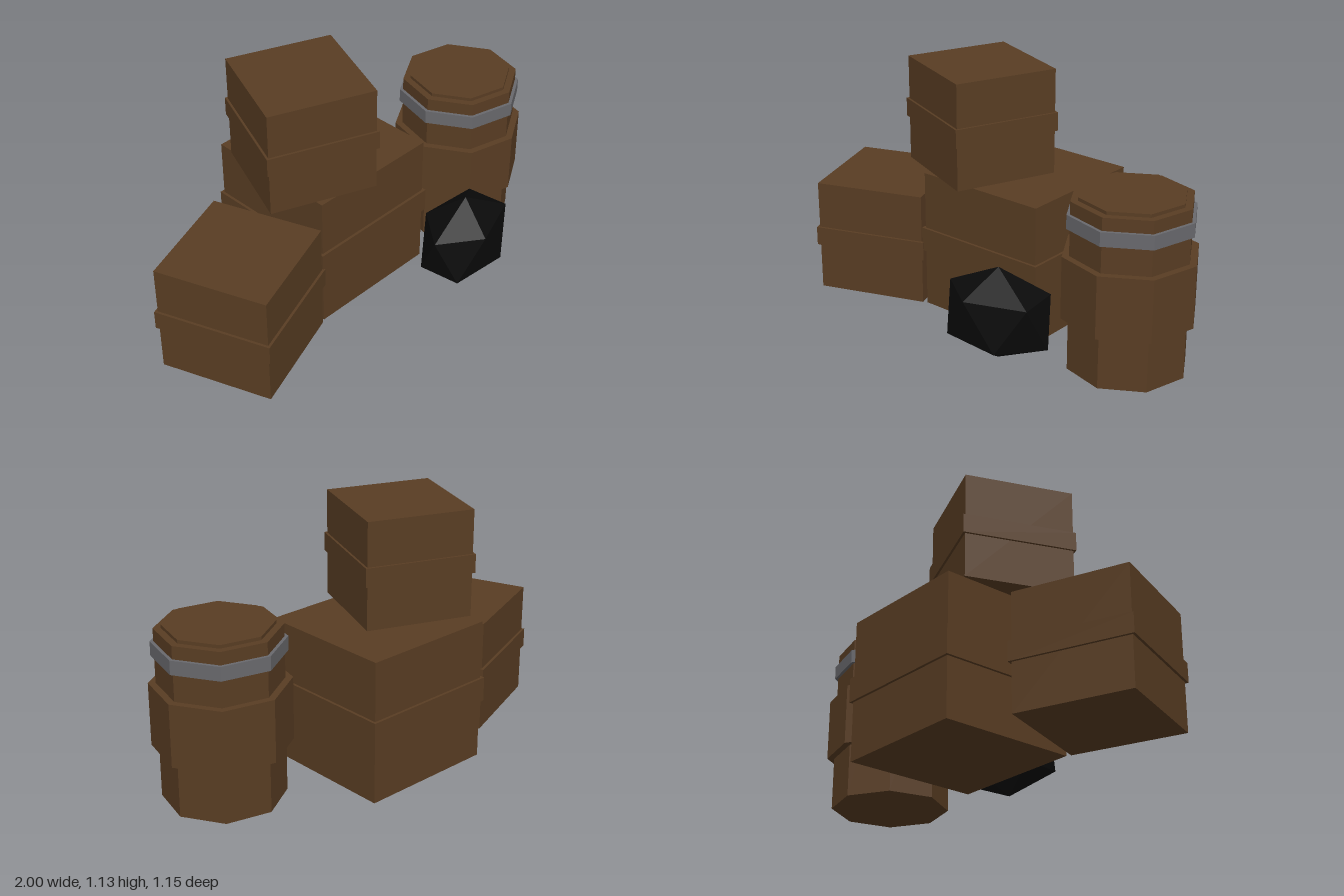
import * as THREE from 'three';
import { ConvexGeometry } from 'three/addons/geometries/ConvexGeometry.js';

export function createModel() {
  const model = new THREE.Group();
  model.name = 'cratesAndBarrel';

  const material = (name, color) => {
    const m = new THREE.MeshStandardMaterial({ color, flatShading: true });
    m.name = name;
    return m;
  };
  const wood = material('brown wood', 0x593d23);
  const iron = material('grey iron', 0x69696d);
  const coal = material('black coal', 0x0a0a0a);

  const addMesh = (parent, name, geometry, mat, y = 0) => {
    const mesh = new THREE.Mesh(geometry, mat);
    mesh.name = name;
    mesh.position.y = y;
    parent.add(mesh);
    return mesh;
  };

  // Crates: a box with a slightly wider plank band around the middle
  const addCrate = (name, { x, y = 0, z, turn, width, height, band, bandFrom, bandTo }) => {
    const crate = new THREE.Group();
    crate.name = name;
    crate.position.set(x, y, z);
    crate.rotation.y = turn;
    addMesh(crate, name + 'Body', new THREE.BoxGeometry(width, height, width), wood, height / 2);
    addMesh(crate, name + 'Band', new THREE.BoxGeometry(band, bandTo - bandFrom, band), wood, (bandFrom + bandTo) / 2);
    model.add(crate);
  };
  addCrate('leftCrate', {
    x: -0.678, z: -0.118, turn: 0.214, width: 0.518, height: 0.528, band: 0.541, bandFrom: 0.22, bandTo: 0.308,
  });
  addCrate('largeCrate', {
    x: 0.011, z: -0.2, turn: -0.14, width: 0.64, height: 0.648, band: 0.665, bandFrom: 0.27, bandTo: 0.382,
  });
  addCrate('topCrate', {
    x: -0.192, y: 0.648, z: -0.154, turn: -0.523, width: 0.485, height: 0.487, band: 0.505, bandFrom: 0.202, bandTo: 0.287,
  });

  // Barrel: stacked eight-sided drums
  const barrel = new THREE.Group();
  barrel.name = 'barrel';
  barrel.position.set(0.698, 0, 0.083);
  model.add(barrel);
  for (const [name, radius, from, to, mat] of [
    ['barrelBody', 0.267, 0, 0.77, wood],
    ['barrelBelly', 0.299, 0.243, 0.527, wood],
    ['barrelHoop', 0.282, 0.65, 0.713, iron],
    ['barrelLid', 0.234, 0.75, 0.785, wood],
  ]) {
    addMesh(barrel, name, new THREE.CylinderGeometry(radius, radius, to - from, 8), mat, (from + to) / 2);
  }

  // Lump of coal: two poles and two opposed five-point rings
  const points = [new THREE.Vector3(0, 0.211, 0), new THREE.Vector3(0, -0.211, 0)];
  for (let i = 0; i < 5; i++) {
    const a = (i / 5) * Math.PI * 2;
    const x = Math.cos(a) * 0.242, z = Math.sin(a) * 0.166;
    points.push(new THREE.Vector3(-x, 0.095, z), new THREE.Vector3(x, -0.11, z));
  }
  const lump = addMesh(model, 'coalLump', new ConvexGeometry(points), coal);
  lump.position.set(0.255, 0.26, 0.413);

  return model;
}
